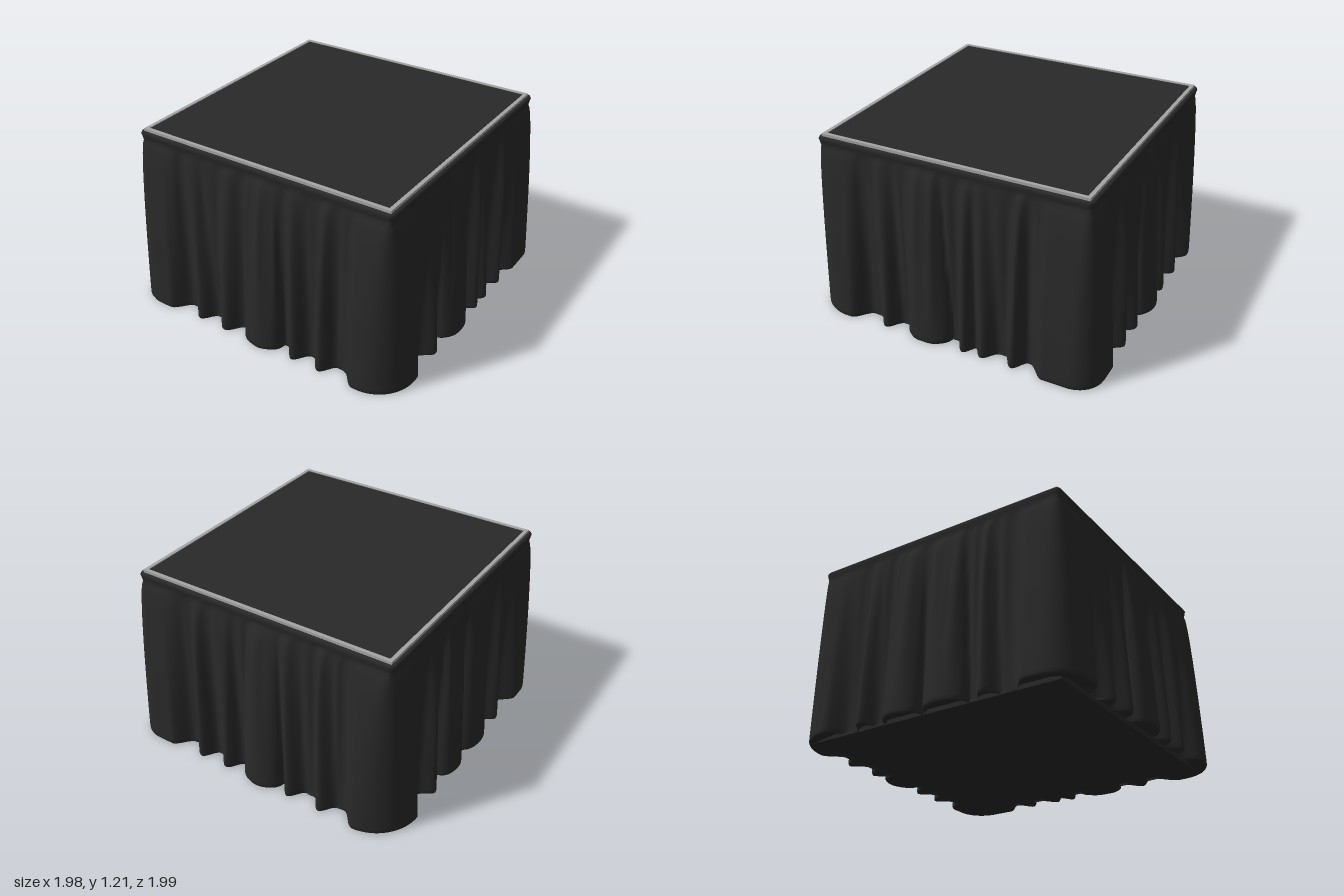
import * as THREE from 'three';

const H = 0.88; // half width of the skirt where it is gathered
const TOP = 1.2;
const SEG = 140;

// Pleats along each side [centre, half width, depth]: front, +x, back, -x
const PLEATS = [
  [[-0.46, 0.09, 0.09], [-0.26, 0.1, 0.095], [0.01, 0.14, 0.115], [0.26, 0.09, 0.09], [0.45, 0.09, 0.09]],
  [[-0.44, 0.09, 0.09], [-0.15, 0.15, 0.115], [0.11, 0.08, 0.09], [0.24, 0.09, 0.09], [0.44, 0.08, 0.09]],
  [[-0.46, 0.09, 0.09], [-0.26, 0.09, 0.09], [0.0, 0.14, 0.115], [0.22, 0.09, 0.09], [0.45, 0.09, 0.09]],
  [[-0.44, 0.09, 0.09], [-0.17, 0.13, 0.105], [0.14, 0.15, 0.11], [0.42, 0.09, 0.09]],
];
// Rounding of the drape at each corner, in the order the sides begin
const CORNERS = [0.08, 0.13, 0.05, 0.18];

// Rows from the upper lip to the hem: [y, pleat strength, lip offset, corner rounding]
function makeRows() {
  const rows = [[1.192, 0, -0.02, 0], [1.195, 0, 0.004, 0], [1.182, 0, 0.011, 0], [1.16, 0, 0.005, 0], [1.135, 0, 0, 0]];
  const n = 20;
  for (let i = 1; i <= n; i++) {
    const t = Math.pow(i / n, 1.3);
    const grow = Math.pow(t, 0.58);
    rows.push([1.135 - 1.1 * t, grow, 0, grow]);
  }
  rows.push([0.012, 1, 0, 1], [0, 0.94, 0, 1], [0.004, 0.8, 0, 1], [0.03, 0, -0.01, 1]);
  return rows;
}

// Position on one side of the skirt, in that side's own frame
function drape(k, s, [y, grow, lip, round]) {
  const a = Math.abs(s);
  const begin = k === 1 && s > 0 ? 0.53 : 0.58;
  const corner = THREE.MathUtils.smoothstep(a, begin, begin + 0.12);
  let d = corner * 0.103;
  let shift = 0;
  for (const [c, width, depth] of PLEATS[k]) {
    const centre = c + 0.035 * Math.sin(c * 17 + k) * (1 - grow);
    const u = (s - centre) / (width * (0.75 + 0.25 * grow));
    if (Math.abs(u) >= 1) continue;
    const wide = width > 0.1;
    const height = depth * (wide ? Math.pow(1 - u * u, 0.7) : 0.5 + 0.5 * Math.cos(u * Math.PI));
    if (height > d) {
      d = height;
      shift = wide ? 0.3 * u * d : 0;
    }
  }
  // Fine gathers below the band
  const wave = Math.sin(s * 48 + 2 * Math.sin(s * 9 + k));
  const gather = Math.max(-0.004, wave * 0.011 * Math.sin(Math.PI * grow) * (1 - corner));

  // Follow a square whose corners are arcs that widen towards the hem
  const r = 0.02 + CORNERS[s < 0 ? k : (k + 1) % 4] * round;
  const core = H - r;
  const angle = (Math.max(0, a - core) / r) * (Math.PI / 4);
  const reach = r + lip + d * grow + gather;
  const along = Math.sign(s) * (Math.min(a, core) + reach * Math.sin(angle)) + shift * grow;
  return [along, y, core + reach * Math.cos(angle)];
}

function skirtGeometry() {
  const rows = makeRows();
  const ring = SEG * 4;
  const pos = [];
  const index = [];
  for (const row of rows) {
    for (let k = 0; k < 4; k++) {
      for (let j = 0; j < SEG; j++) {
        const [s, y, o] = drape(k, -H + (2 * H * j) / SEG, row);
        pos.push(...[[s, y, o], [o, y, -s], [-s, y, -o], [-o, y, s]][k]);
      }
    }
  }
  for (let i = 0; i < rows.length - 1; i++) {
    for (let j = 0; j < ring; j++) {
      const a = i * ring + j;
      const c = i * ring + ((j + 1) % ring);
      index.push(a, a + ring, c, c, a + ring, c + ring);
    }
  }
  const g = new THREE.BufferGeometry();
  g.setAttribute('position', new THREE.Float32BufferAttribute(pos, 3));
  g.setIndex(index);
  g.computeVertexNormals();
  return g;
}

export function createModel() {
  const group = new THREE.Group();
  const cloth = new THREE.MeshStandardMaterial({ color: 0x292929, side: THREE.DoubleSide });
  cloth.name = 'charcoal cloth';
  const grey = new THREE.MeshStandardMaterial({ color: 0xa4a4a4 });
  grey.name = 'grey trim';

  const add = (name, geometry, material, x = 0, y = 0, z = 0) => {
    const mesh = new THREE.Mesh(geometry, material);
    mesh.name = name;
    mesh.position.set(x, y, z);
    group.add(mesh);
  };

  // Solid platform inside the pleated skirt, closing the top and underside
  add('skirt', skirtGeometry(), cloth);
  add('platform', new THREE.BoxGeometry(1.69, TOP - 0.005, 1.69), cloth, 0, (TOP + 0.015) / 2, 0);
  add('underside', new THREE.BoxGeometry(1.72, 0.02, 1.72), cloth, 0, 0.018, 0);

  // Thin grey edging around the top
  for (const side of [-1, 1]) {
    add('topTrim', new THREE.BoxGeometry(1.736, 0.03, 0.024), grey, 0, TOP - 0.005, side * 0.856);
    add('topTrim', new THREE.BoxGeometry(0.024, 0.03, 1.688), grey, side * 0.856, TOP - 0.005, 0);
  }
  return group;
}
